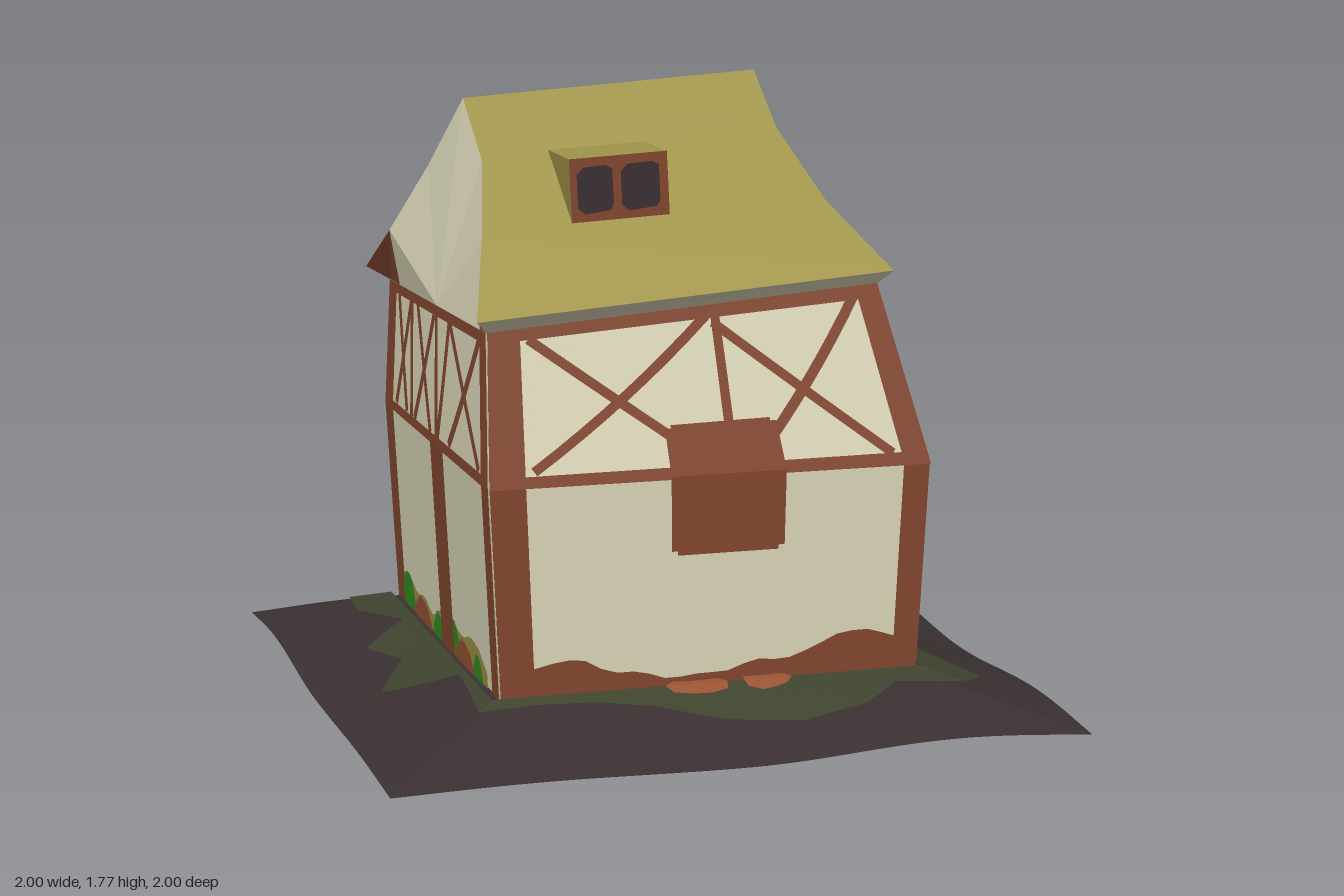
import * as THREE from 'three';

const mat = (name, color) => Object.assign(new THREE.MeshStandardMaterial({ color }), { name });

export function createModel() {
  const house = new THREE.Group();
  house.name = 'timberFramedHouse';
  const cream = mat('creamPlaster', 0xe0dbbd), brown = mat('brownTimber', 0x864830);
  const thatch = mat('oliveThatch', 0xa0944a), dark = mat('darkEarth', 0x3a3032);
  const moss = mat('darkMoss', 0x3e442e), leaf = mat('brightLeaf', 0x31901f);
  const stone = mat('orangeStone', 0x9a5434);

  // --- helpers -------------------------------------------------------------
  // flat-shaded mesh from a list of corner points, three per triangle
  function soup(name, material, pts) {
    const g = new THREE.BufferGeometry();
    g.setAttribute('position', new THREE.Float32BufferAttribute(pts.flat(), 3));
    g.computeVertexNormals();
    const m = new THREE.Mesh(g, material);
    m.name = name;
    house.add(m);
  }
  // grid of quads over s,t in 0..1
  function grid(fn, ns, nt) {
    const out = [];
    for (let i = 0; i < ns; i++) for (let j = 0; j < nt; j++) {
      const a = fn(i / ns, j / nt), b = fn((i + 1) / ns, j / nt);
      const c = fn((i + 1) / ns, (j + 1) / nt), d = fn(i / ns, (j + 1) / nt);
      out.push(a, b, c, a, c, d);
    }
    return out;
  }
  const lerp = (a, b, t) => a + (b - a) * t;
  const mix = (p, q, t) => p.map((v, i) => lerp(v, q[i], t));
  const sample = (list, t) => {
    const f = t * (list.length - 1), i = Math.min(Math.floor(f), list.length - 2);
    return lerp(list[i], list[i + 1], f - i);
  };

  // --- ground --------------------------------------------------------------
  const N = 40;
  const under = (x, z) => (x < 0 && z > 0 ? 0.005 : 0.015) * (1 - Math.cos(5.2 * Math.min(Math.abs(x), Math.abs(z))));
  const groundY = (x, z) => {
    const r = Math.max(Math.abs(x), Math.abs(z));
    const t = THREE.MathUtils.clamp((r - 0.63) / 0.37, 0, 1);
    return lerp(0.13, under(x / r, z / r), t);
  };
  // square ring around the house, outer reach r1 given per perimeter position
  function ring(name, material, r0, r1, lift) {
    soup(name, material, grid((s, t) => {
      const k = Math.round(s * 4 * N) % (4 * N), a = Math.floor(k / N) * Math.PI / 2, w = -1 + 2 * (k % N) / N;
      const r = lerp(r0, r1(k / (4 * N)), t);
      const x = r * (Math.cos(a) - w * Math.sin(a)), z = r * (Math.sin(a) + w * Math.cos(a));
      return [x, groundY(x, z) + lift, z];
    }, 4 * N, 1));
  }
  ring('groundSlope', dark, 0.6, () => 1, -0.004);
  const mossEdge = [0.72, 0.8, 0.82, 0.78, 0.84, 0.78, 0.7, 0.82, 0.72, 0.7, 0.8, 0.84, 0.8, 0.72, 0.68, 0.67,
    0.68, 0.66, 0.65, 0.85, 0.74, 0.8, 0.66, 0.75, 0.74, 0.78, 0.82, 0.82, 0.84, 0.78, 0.88, 0.86, 0.72];
  ring('mossPatch', moss, 0.63, t => sample(mossEdge, t), 0.005);

  // underside, coloured by cell
  const cells = { earth: [], timber: [], thatch: [], plain: [] };
  for (let i = 0; i < N; i++) for (let j = 0; j < N; j++) {
    const h = 1 / N, x = -1 + h + 2 * h * i, z = -1 + h + 2 * h * j;
    const inL = x > 0.35 && z > -0.82 && z < -0.08 && (z < -0.48 || x < 0.65);
    const key = x < 0 && z > 0.2 ? 'timber' : inL ? 'earth' : z > 0 && x > 1 - 0.18 * z ? 'thatch' : 'plain';
    const c = (dx, dz) => [x + dx, under(x + dx, z + dz) - 0.004, z + dz];
    cells[key].push(c(-h, -h), c(h, -h), c(h, h), c(-h, -h), c(h, h), c(-h, h));
  }
  soup('groundUndersidePlain', cream, cells.plain);
  soup('groundUndersideTimber', brown, cells.timber);
  soup('groundUndersideDark', dark, cells.earth);
  soup('groundUndersideOlive', thatch, cells.thatch);

  // flat stones lying against the house
  for (const [x, z, rx, rz] of [[-0.34, -0.72, 0.09, 0.1], [0.15, -0.69, 0.09, 0.07], [0.41, -0.7, 0.08, 0.08],
    [0.66, -0.44, 0.04, 0.07], [0.68, -0.2, 0.07, 0.12], [0.66, 0.25, 0.05, 0.14], [-0.04, 0.64, 0.09, 0.05], [0.16, 0.64, 0.07, 0.05]]) {
    const at = i => {
      const a = i * Math.PI / 5, k = 1 + 0.1 * Math.sin(3 * a + x * 9);
      const px = x + rx * k * Math.cos(a), pz = z + rz * k * Math.sin(a);
      return [px, groundY(px, pz) + 0.011, pz];
    };
    const tris = [];
    for (let i = 0; i < 10; i++) tris.push([x, groundY(x, z) + 0.011, z], at(i + 1), at(i));
    soup('flatStone', stone, tris);
  }

  // --- walls: three levels of corners (front right, front left, back left, back right)
  const levels = [
    [[-0.6, 0.12, 0.61], [0.62, 0.12, 0.61], [0.62, 0.12, -0.64], [-0.6, 0.12, -0.64]],
    [[-0.63, 0.73, 0.62], [0.65, 0.73, 0.62], [0.65, 0.73, -0.66], [-0.63, 0.73, -0.66]],
    [[-0.61, 1.14, 0.53], [0.53, 1.22, 0.5], [0.52, 1.17, -0.64], [-0.62, 1.11, -0.62]],
  ];
  const V = p => new THREE.Vector3(...p);
  function wall(level, side) {
    const n = (side + 1) % 4, [lo, hi] = [levels[level], levels[level + 1]];
    const normal = V(lo[n]).sub(V(lo[side])).cross(V(hi[side]).sub(V(lo[side]))).normalize().toArray();
    return {
      w: 1.24, h: level ? 0.45 : 0.61,
      at: (u, v, off = 0) => mix(mix(lo[side], lo[n], u), mix(hi[side], hi[n], u), v).map((c, i) => c + normal[i] * off),
    };
  }
  // straight painted timber between two wall positions
  function beam(f, [u0, v0], [u1, v1], width, name, off = 0.004) {
    const dx = (u1 - u0) * f.w, dy = (v1 - v0) * f.h, l = Math.hypot(dx, dy);
    const nu = -dy / l * width / f.w, nv = dx / l * width / f.h;
    soup(name, brown, grid((s, t) => f.at(lerp(u0, u1, s) + nu * (t - 0.5), lerp(v0, v1, s) + nv * (t - 0.5), off), 8, 1));
  }
  // irregular band growing up from the foot of a wall
  const band = (f, name, m, u0, u1, heights, off) =>
    soup(name, m, grid((s, t) => f.at(lerp(u0, u1, s), t * sample(heights, s) / f.h, off), 24, 1));

  const wideBraces = [[[0.1, 0.93], [0.5, 0.06]], [[0.1, 0.08], [0.55, 0.95]], [[0.56, 0.9], [0.92, 0.05]],
    [[0.6, 0.06], [0.93, 0.95]], [[0.57, 0.95], [0.55, 0.05]]];
  const closeBraces = [[[0.058, 0.95], [0.358, 0.06]], [[0.08, 0.06], [0.354, 0.95]], [[0.354, 0.95], [0.465, 0.05]],
    [[0.488, 0.95], [0.478, 0.05]], [[0.535, 0.05], [0.685, 0.95]], [[0.51, 0.93], [0.693, 0.05]],
    [[0.746, 0.95], [0.724, 0.05]], [[0.755, 0.93], [0.882, 0.06]], [[0.886, 0.93], [0.772, 0.06]]];
  const mirror = list => list.map(b => b.map(([u, v]) => [1 - u, v]));
  const braces = [wideBraces, closeBraces, mirror(wideBraces), mirror(closeBraces)];
  const lower = [], upper = [];
  ['front', 'left', 'back', 'right'].forEach((side, i) => {
    for (const level of [0, 1]) {
      const f = wall(level, i);
      (level ? upper : lower).push(f);
      soup(`${side}${level ? 'Upper' : 'Lower'}Wall`, cream, grid((u, v) => f.at(u, v), 8, 8));
      beam(f, [0.04, 0], [0.04, 1], 0.1, 'cornerPost');
      beam(f, [0.97, 0], [0.97, 1], 0.075, 'cornerPost');
    }
    beam(upper[i], [0, 0.015], [1, 0.015], 0.034, 'middleRail');
    beam(upper[i], [0, 0.965], [1, 0.965], 0.035, 'topRail');
    braces[i].forEach(([a, b]) => beam(upper[i], a, b, i % 2 ? 0.034 : 0.028, 'brace'));
  });

  // worn timber foot and plants along the walls
  const worn = [0.08, 0.1, 0.11, 0.06, 0.06, 0.03, 0.04, 0.04, 0.07, 0.06, 0.09, 0.13, 0.13, 0.1];
  band(lower[0], 'wornFoot', brown, 0.05, 0.95, worn, 0.005);
  band(lower[2], 'wornFoot', brown, 0.05, 0.95, worn.slice().reverse(), 0.005);
  const bush = [0.06, 0.1, 0.115, 0.115, 0.1, 0.04], lowBush = [0.03, 0.09, 0.07, 0.1, 0.115, 0.11, 0.05];
  const rock = [0.01, 0.05, 0.08, 0.075, 0.06, 0.01];
  for (const i of [1, 3]) {
    band(lower[i], 'dryGrass', thatch, 0.07, 0.9, [0.1, 0.11, 0.07, 0.09, 0.05, 0.09, 0.11, 0.1, 0.08, 0.11, 0.1, 0.05], 0.004);
    band(lower[i], 'bush', leaf, 0.08, 0.2, bush, 0.007);
    band(lower[i], 'bush', leaf, 0.39, 0.66, lowBush, 0.007);
    band(lower[i], 'bush', leaf, 0.77, 0.87, rock, 0.007);
    band(lower[i], 'footStone', stone, 0.18, 0.38, rock, 0.008);
    band(lower[i], 'footStone', stone, 0.6, 0.79, rock, 0.008);
  }
  for (const [a, b] of [[0.12, 0.24], [0.4, 0.5], [0.75, 0.87]]) band(lower[2], 'bush', leaf, a, b, rock.map(h => h * 0.6), 0.008);

  // hanging board on the front and a post on the right wall
  beam(lower[0], [0.535, 0.65], [0.535, 1], 0.325, 'frontBoard', 0.008);
  beam(lower[0], [0.535, 0.63], [0.535, 0.65], 0.29, 'frontBoardFoot', 0.008);
  beam(upper[0], [0.535, 0], [0.535, 0.29], 0.325, 'frontBoard', 0.008);
  beam(upper[0], [0.535, 0.29], [0.535, 0.31], 0.29, 'frontBoardHead', 0.008);
  beam(lower[3], [0.54, 0], [0.54, 1], 0.15, 'doorPost', 0.009);

  // --- roof: edge outlines from back eave over the ridge to front eave
  const rightEdge = [[0.52, 1.22, -0.69], [0.48, 1.3, -0.6], [0.41, 1.51, -0.38], [0.36, 1.77, -0.1],
    [0.37, 1.62, 0.08], [0.44, 1.435, 0.32], [0.57, 1.26, 0.53]];
  const leftEdge = [[-0.69, 1.15, -0.65], [-0.65, 1.28, -0.5], [-0.58, 1.5, -0.28], [-0.53, 1.72, -0.05],
    [-0.52, 1.56, 0.13], [-0.58, 1.37, 0.36], [-0.65, 1.18, 0.58]];
  const quad = (a, b, c, d) => [a, b, c, a, c, d];
  const roof = [];
  for (let i = 0; i < 6; i++) roof.push(...quad(leftEdge[i], leftEdge[i + 1], rightEdge[i + 1], rightEdge[i]));
  soup('roof', thatch, roof);
  const [FL, FR, BR, BL] = levels[2];
  soup('frontSoffit', cream, quad(FL, FR, rightEdge[6], leftEdge[6]));
  soup('backSoffit', brown, quad(BR, BL, leftEdge[0], rightEdge[0]));

  // gables bend from the wall top up to the roof edge, with timber at both ends
  function gable(name, edge, front, back, backInset, flip) {
    const f = mix(front, back, 0.07), b = mix(back, front, backInset), mid = mix(front, back, 0.5);
    const rim = [b, ...edge.slice(1, 6), f];
    const face = (p, q, r) => (flip ? [p, r, q] : [p, q, r]);
    soup(name + 'Gable', cream, rim.slice(1).flatMap((p, i) => face(mid, rim[i], p)));
    soup(name + 'GableEnds', brown, [...face(back, edge[0], edge[1]), ...face(back, edge[1], b),
      ...face(front, edge[5], edge[6]), ...face(front, f, edge[5])]);
  }
  gable('left', rightEdge, FR, BR, 0.01, false);
  gable('right', leftEdge, FL, BL, 0.1, true);

  // --- dormer with two panes
  const dormer = new THREE.Group();
  dormer.name = 'dormer';
  dormer.position.set(-0.175, 1.5, 0.22);
  dormer.rotation.z = 0.05;
  const box = new THREE.Mesh(new THREE.BoxGeometry(0.285, 0.18, 0.22), [thatch, thatch, thatch, thatch, brown, thatch]);
  box.name = 'dormerBox';
  dormer.add(box);
  for (const [x, w] of [[-0.072, 0.052], [0.06, 0.056]]) {
    const shape = new THREE.Shape([[-w, -0.05], [-w + 0.02, -0.068], [w - 0.01, -0.062], [w, -0.045],
      [w, 0.055], [w - 0.02, 0.066], [-w + 0.02, 0.064], [-w, 0.045]].map(p => new THREE.Vector2(...p)));
    const pane = new THREE.Mesh(new THREE.ShapeGeometry(shape), dark);
    pane.name = 'windowPane';
    pane.position.set(x, 0, 0.115);
    dormer.add(pane);
  }
  house.add(dormer);
  return house;
}
